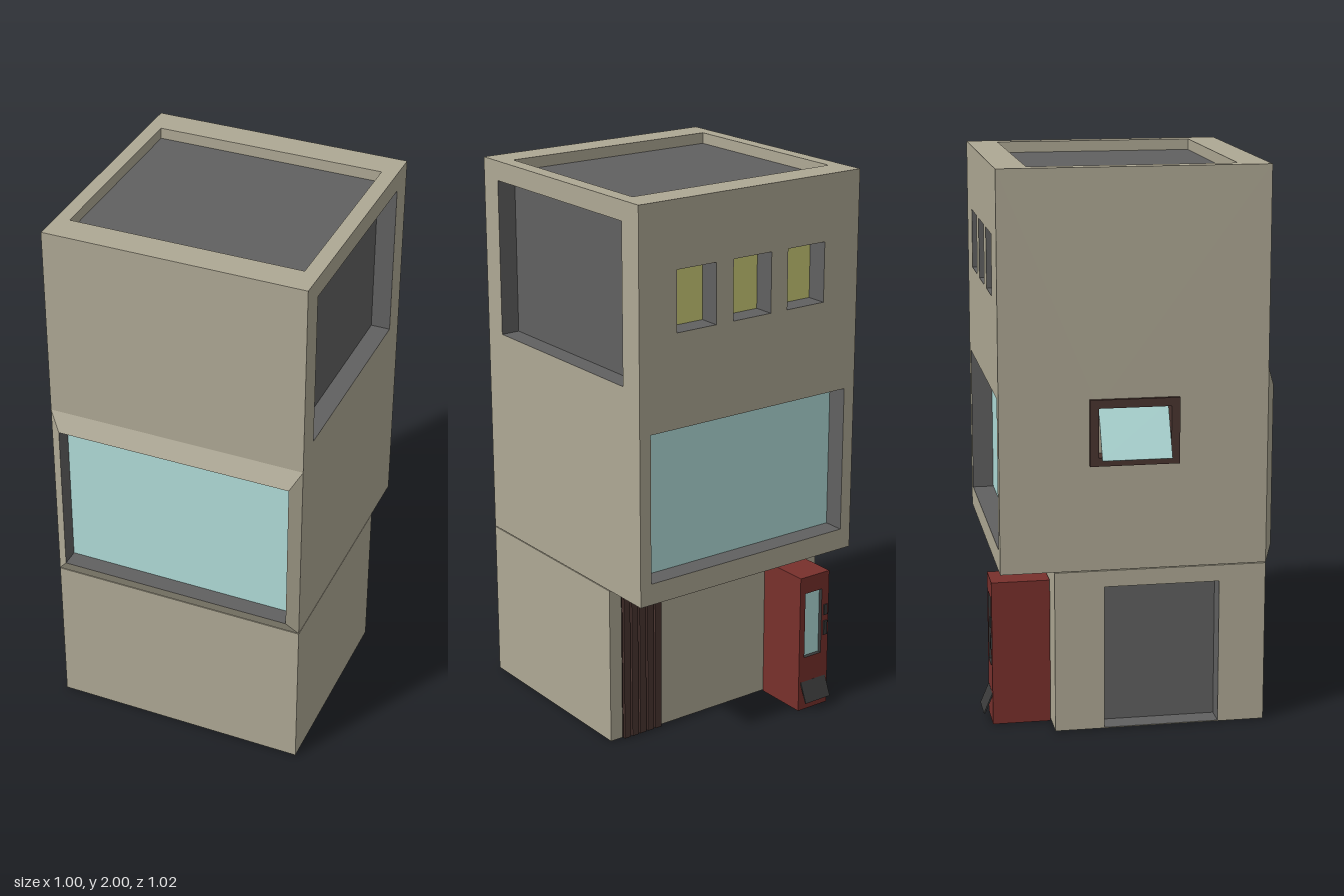
import * as THREE from 'three';

const BODY = 0xaea894, GREY = 0x606060, GLASS = 0xb0dcd9, YELLOW = 0xcccc78;
const RED = 0x78302c, BROWN = 0x4a3530, DARK = 0x3a3a3a;

const mats = {};
const mat = (color) => (mats[color] ??= new THREE.MeshStandardMaterial({ color, side: THREE.DoubleSide }));

function add(parent, name, geometry, color) {
  const mesh = new THREE.Mesh(geometry, mat(color));
  mesh.name = name;
  parent.add(mesh);
  return mesh;
}

function box(parent, name, x0, x1, y0, y1, z0, z1, color) {
  const mesh = add(parent, name, new THREE.BoxGeometry(x1 - x0, y1 - y0, z1 - z0), color);
  mesh.position.set((x0 + x1) / 2, (y0 + y1) / 2, (z0 + z1) / 2);
  return mesh;
}

// Rectangles are [u0, v0, u1, v1], corners counter-clockwise
const corners = ([u0, v0, u1, v1]) => [[u0, v0], [u1, v0], [u1, v1], [u0, v1]];
const toPoints = (r) => corners(r).map(([u, v]) => new THREE.Vector2(u, v));

function rectShape(r, holes = []) {
  const shape = new THREE.Shape(toPoints(r));
  for (const h of holes) shape.holes.push(new THREE.Path(toPoints(h)));
  return shape;
}

// Four flat quads joining rectangle a at depth za to rectangle b at depth zb
function band(a, za, b, zb) {
  const A = corners(a).map((p) => [...p, za]);
  const B = corners(b).map((p) => [...p, zb]);
  const pos = [];
  for (let i = 0; i < 4; i++) {
    const j = (i + 1) % 4;
    pos.push(...A[i], ...A[j], ...B[j], ...A[i], ...B[j], ...B[i]);
  }
  const g = new THREE.BufferGeometry();
  g.setAttribute('position', new THREE.Float32BufferAttribute(pos, 3));
  g.computeVertexNormals();
  return g;
}

// Lined recess with a panel at its back
function recess(parent, { name, rect, depth, panel, lining = GREY }, front = 0) {
  add(parent, name + 'Lining', band(rect, front, rect, front - depth), lining);
  add(parent, name + 'Panel', new THREE.ShapeGeometry(rectShape(rect)), panel).position.z = front - depth;
}

// Wall orientations: local z points outwards
const TURN = {
  front: [0, 0], back: [0, Math.PI], right: [0, Math.PI / 2], left: [0, -Math.PI / 2],
  top: [-Math.PI / 2, 0], bottom: [Math.PI / 2, 0],
};

function wall(parent, side, rect, offset, color, recesses = []) {
  const g = new THREE.Group();
  g.name = side + 'Wall';
  g.rotation.set(TURN[side][0], TURN[side][1], 0);
  g.translateZ(offset);
  add(g, side + 'Surface', new THREE.ShapeGeometry(rectShape(rect, recesses.map((r) => r.rect))), color);
  for (const r of recesses) recess(g, r);
  parent.add(g);
  return g;
}

// Hollow block made of six walls, each with optional recesses
function shell(parent, name, [x0, x1, y0, y1, z0, z1], color, recesses = {}, skip = []) {
  const g = new THREE.Group();
  g.name = name;
  const walls = {
    front: [[x0, y0, x1, y1], z1], back: [[-x1, y0, -x0, y1], -z0],
    right: [[-z1, y0, -z0, y1], x1], left: [[z0, y0, z1, y1], -x0],
    top: [[x0, -z1, x1, -z0], y1], bottom: [[x0, z0, x1, z1], -y0],
  };
  for (const [side, [rect, offset]] of Object.entries(walls))
    if (!skip.includes(side)) wall(g, side, rect, offset, color, recesses[side]);
  parent.add(g);
  return g;
}

export function createModel() {
  const model = new THREE.Group();
  model.name = 'building';

  // Upper storeys with recessed windows and roof
  const smallWindows = [-0.345, -0.11, 0.125].map((u, i) => ({
    name: 'smallWindow' + (i + 1), rect: [u, 1.547, u + 0.163, 1.763], depth: 0.078, panel: YELLOW,
  }));
  const upper = shell(model, 'upperStoreys', [-0.44, 0.5, 0.592, 2, -0.46, 0.485], BODY, {
    top: [{ name: 'roof', rect: [-0.39, -0.375, 0.445, 0.35], depth: 0.04, panel: GREY, lining: BODY }],
    right: [{ name: 'sidePanel', rect: [-0.395, 1.365, 0.365, 1.93], depth: 0.07, panel: GREY }],
    back: [
      ...smallWindows,
      { name: 'backWindow', rect: [-0.455, 0.67, 0.395, 1.21], depth: 0.078, panel: GLASS },
    ],
    left: [{ name: 'ventWindow', rect: [-0.115, 1.0, 0.14, 1.175], depth: 0.06, panel: BODY, lining: BROWN }],
  }, ['front']);

  // Front wall above the bevelled bay window
  const front = wall(upper, 'front', [-0.44, 1.295, 0.5, 2], 0.485, BODY);
  const bayInner = [-0.4, 0.645, 0.46, 1.225];
  add(front, 'bayWindowBevel', band([-0.44, 0.592, 0.5, 1.295], 0, bayInner, 0.027), BODY);
  recess(front, { name: 'bayWindow', rect: bayInner, depth: 0.065, panel: GLASS }, 0.027);

  // Ground floor with side doorway
  shell(model, 'groundFloor', [-0.44, 0.5, 0.003, 0.589, -0.27, 0.485], BODY, {
    left: [{ name: 'doorway', rect: [-0.093, 0.006, 0.318, 0.53], depth: 0.078, panel: GREY }],
  });

  // Vent window frame and tilted pane
  const frame = add(model, 'ventWindowFrame', new THREE.ExtrudeGeometry(
    rectShape([-0.145, 0.97, 0.17, 1.205], [[-0.115, 1.0, 0.14, 1.175]]),
    { depth: 0.014, bevelEnabled: false }), BROWN);
  frame.rotation.y = -Math.PI / 2;
  frame.position.x = -0.44;
  const pane = add(model, 'ventWindowPane', new THREE.BoxGeometry(0.006, 0.195, 0.245), GLASS);
  pane.position.set(-0.456, 1.088, 0.0125);
  pane.rotation.z = -Math.atan2(0.085, 0.175);

  // Slatted back door
  const door = new THREE.Group();
  door.name = 'slattedDoor';
  box(door, 'doorBacking', 0.285, 0.45, 0.003, 0.585, -0.273, -0.268, 0x2a1c19);
  for (let i = 0; i < 5; i++) {
    const x = 0.285 + i * 0.034;
    box(door, 'doorSlat', x, x + 0.027, 0.003, 0.585, -0.283, -0.272, BROWN);
  }
  model.add(door);

  // Vending machine behind the building
  const machine = shell(model, 'vendingMachine', [-0.33, -0.195, 0, 0.53, -0.48, -0.272], RED, {
    back: [{ name: 'display', rect: [0.219, 0.21, 0.297, 0.465], depth: 0.015, panel: GLASS, lining: DARK }],
  });
  for (const [y0, y1] of [[0.36, 0.4], [0.28, 0.335]])
    box(machine, 'buttonPlate', -0.322, -0.306, y0, y1, -0.485, -0.479, DARK);
  const flap = add(machine, 'trayFlap', new THREE.BoxGeometry(0.115, 0.08, 0.005), DARK);
  flap.position.set(-0.2625, 0.075, -0.494);
  flap.rotation.x = Math.atan2(0.03, 0.07);

  return model;
}
